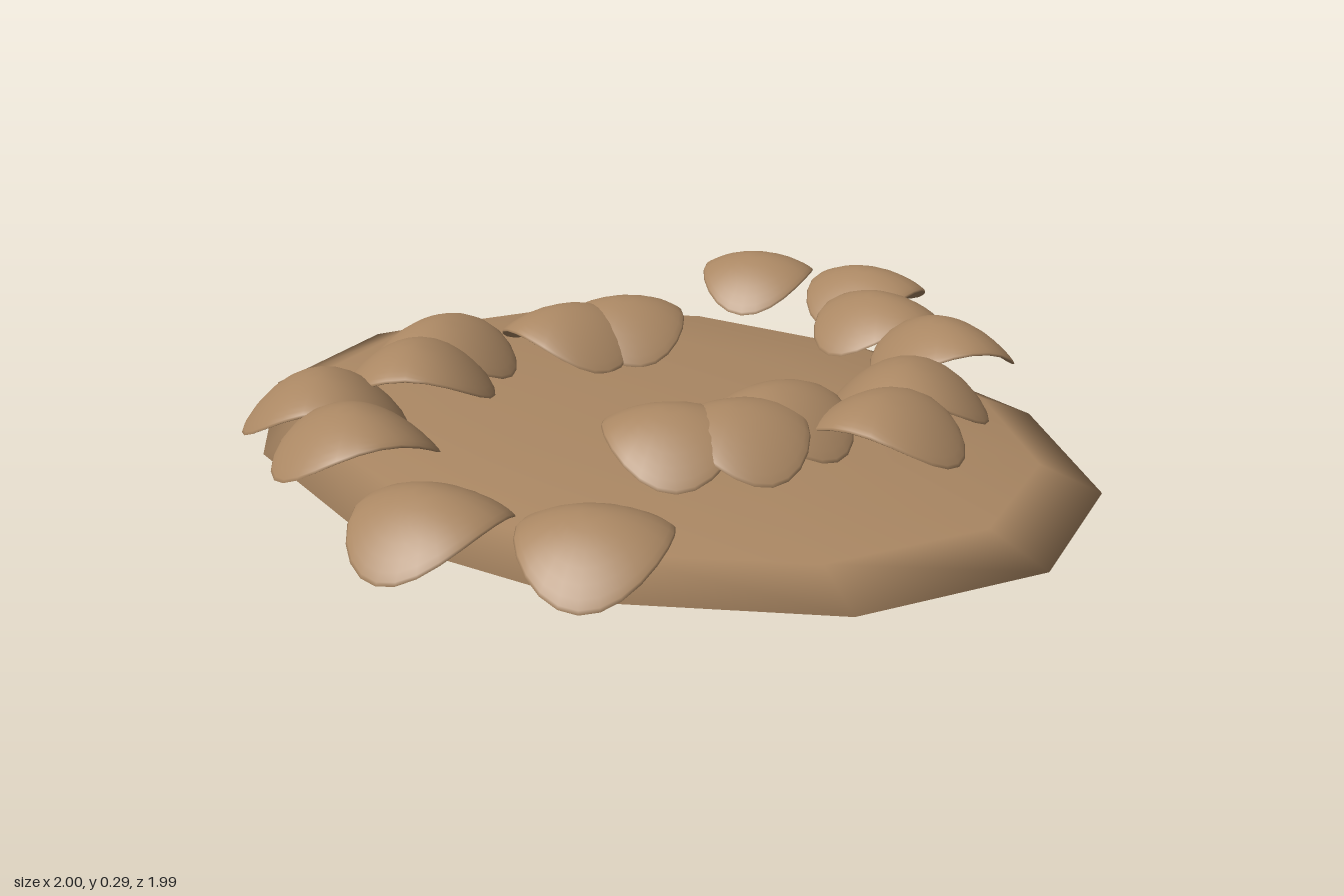
import * as THREE from 'three';
import { mergeVertices } from 'three/addons/utils/BufferGeometryUtils.js';

// Oval scale, arched along its length (z) and slightly domed across (x)
function petalGeometry() {
  let g = new THREE.SphereGeometry(1, 24, 16);
  g.deleteAttribute('uv');
  g.deleteAttribute('normal');
  g = mergeVertices(g, 1e-4);
  const p = g.attributes.position;
  for (let i = 0; i < p.count; i++) {
    const x = p.getX(i) * 0.138, z = p.getZ(i) * 0.17;
    p.setXYZ(i, x, p.getY(i) * 0.016 - 3.5 * z * z - 1.3 * x * x, z);
  }
  g.computeVertexNormals();
  return g;
}

export function createModel() {
  const brown = new THREE.MeshStandardMaterial({ color: 0xaa8763 });
  brown.name = 'brown';
  const model = new THREE.Group();
  model.name = 'petalledDisc';

  // Flat lens-shaped base with twelve sides
  const disc = new THREE.Mesh(new THREE.SphereGeometry(1, 12, 6), brown);
  disc.name = 'baseDisc';
  disc.scale.set(1, 0.088, 0.775);
  disc.position.set(0, 0.09, 0.015);
  model.add(disc);

  // Petal centres (x, z), each turned to point outward
  const spots = [
    [-0.395, -0.745], [-0.11, -0.83], [0.055, -0.675], [0.29, -0.61],
    [0.445, -0.28], [0.53, -0.09], [0.345, 0.02], [0.355, 0.15], [0.28, 0.255],
    [-0.315, -0.19], [-0.36, -0.05], [-0.485, 0.21], [-0.385, 0.365],
    [-0.4, 0.595], [-0.18, 0.675], [0.25, 0.825], [0.52, 0.685],
  ];
  const geometry = petalGeometry();
  const petals = new THREE.Group();
  petals.name = 'petals';
  spots.forEach(([x, z], i) => {
    const petal = new THREE.Mesh(geometry, brown);
    petal.name = 'petal' + (i + 1);
    // Petals nearer the middle sit a little higher
    petal.position.set(x, Math.hypot(x, z) < 0.6 ? 0.272 : 0.256, z);
    petal.rotation.y = Math.atan2(x, z);
    petals.add(petal);
  });
  model.add(petals);
  return model;
}
